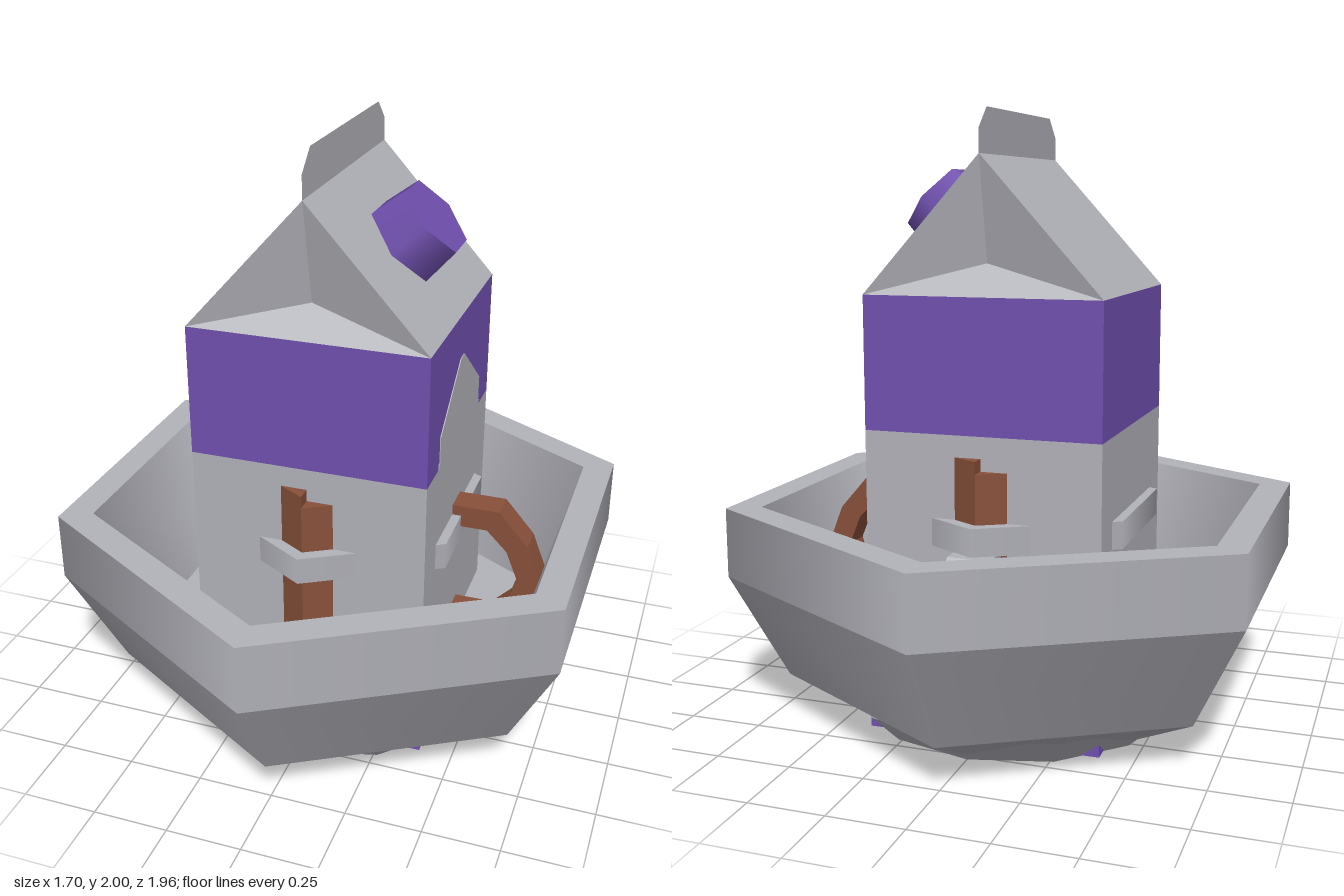
import * as THREE from 'three';

const mat = (name, color) => {
  const m = new THREE.MeshStandardMaterial({ color, side: THREE.DoubleSide });
  m.name = name;
  return m;
};

export function createModel() {
  const grey = mat('paleGrey', 0xb2b2ba);
  const purple = mat('purple', 0x7150b0);
  const brown = mat('brown', 0x88503a);
  const model = new THREE.Group();

  const add = (name, geometry, material, x = 0, y = 0, z = 0, parent = model) => {
    const mesh = new THREE.Mesh(geometry, material);
    mesh.name = name;
    mesh.position.set(x, y, z);
    parent.add(mesh);
    return mesh;
  };
  const extrude = (pts, depth) => new THREE.ExtrudeGeometry(
    new THREE.Shape(pts.map(([a, b]) => new THREE.Vector2(a, b))), { depth, bevelEnabled: false });
  const faces = (...pts) => {
    const g = new THREE.BufferGeometry();
    g.setAttribute('position', new THREE.Float32BufferAttribute(pts.flat(), 3));
    g.computeVertexNormals();
    return g;
  };

  // Bowl: one lathe per band, smooth around and creased between bands
  const bowl = new THREE.Group();
  bowl.name = 'bowl';
  model.add(bowl);
  const bands = (name, profile, sides) => {
    for (let i = 0; i < profile.length - 1; i++) {
      const pts = [profile[i], profile[i + 1]].map(([r, y]) => new THREE.Vector2(r, y));
      add(name, new THREE.LatheGeometry(pts, sides), grey, 0, 0, 0, bowl);
    }
  };
  bands('bowlBand', [[0.51, 0.006], [0.79, 0.15], [0.98, 0.5], [0.98, 0.73],
    [0.865, 0.73], [0.715, 0.25], [0, 0.25]], 6);
  bands('bowlFoot', [[0, 0], [0.525, 0], [0.625, 0.1]], 12);

  // Carton body in coloured layers
  const W = 0.78, H = 0.39;
  const layer = (name, y0, y1, m) => add(name, new THREE.BoxGeometry(W, y1 - y0, W), m, 0, (y0 + y1) / 2, 0);
  layer('cartonBase', 0.004, 0.2, purple);
  layer('cartonBody', 0.2, 1, grey);
  layer('cartonBand', 1, 1.43, purple);

  // Peaked panel on the left side of the carton
  const peak = extrude([[-0.26, 1], [0.26, 1], [0.26, 1.02], [0.25, 1.02], [0.25, 1.11],
    [0.02, 1.285], [-0.02, 1.285], [-0.25, 1.11], [-0.25, 1.02], [-0.26, 1.02]], 0.004);
  add('sidePanel', peak, grey, H - 0.001).rotation.y = Math.PI / 2;

  // Roof slopes, folded gables and top fin
  const E = 1.43, R = 1.86, F = 0.32;
  const half = faces(
    [H, E, H], [H, E, -H], [0, R, -H], [H, E, H], [0, R, -H], [0, R, H], // slope
    [-H, E, H], [H, E, H], [0, 1.53, F], // lower fold
    [-H, E, H], [0, 1.53, F], [0, R, H], // left fold
    [H, E, H], [0, R, H], [0, 1.53, F]); // right fold
  add('roofFront', half, grey);
  add('roofBack', half, grey).rotation.y = Math.PI;
  const fin = new THREE.ShapeGeometry(new THREE.Shape([[-H, R], [H, R], [H, 1.935], [0.32, 2],
    [-0.32, 2], [-H, 1.935]].map(([a, b]) => new THREE.Vector2(a, b))));
  add('roofFin', fin, grey).rotation.y = Math.PI / 2;

  // Screw cap on the left slope
  add('cap', new THREE.CylinderGeometry(0.137, 0.154, 0.14, 6), purple, 0.241, 1.687, 0).rotation.z = -0.834;

  // Hexagonal collar around the carton with its handle at the back
  add('collar', new THREE.CylinderGeometry(0.485, 0.485, 0.09, 6), grey, 0, 0.685, 0);
  const loop = extrude([[0.38, 0.64], [0.5, 0.64], [0.6, 0.53], [0.6, 0.4], [0.5, 0.29], [0.38, 0.29],
    [0.38, 0.34], [0.47, 0.34], [0.54, 0.42], [0.54, 0.51], [0.47, 0.58], [0.38, 0.58]], 0.14);
  add('collarHandle', loop, grey, -0.07, 0, 0).rotation.y = Math.PI / 2;

  // Brown wedges on front and back, one half taller than the other
  for (const turn of [0, Math.PI]) {
    const pair = new THREE.Group();
    pair.name = 'brownWedges';
    pair.rotation.y = turn;
    model.add(pair);
    for (const [side, top] of [[-1, 0.93], [1, 0.89]]) {
      const g = extrude([[0, -0.38], [side * 0.104, -0.38], [0, -0.44]], top - 0.25);
      g.rotateX(-Math.PI / 2);
      add('wedge', g, brown, 0, 0.25, 0, pair);
    }
  }

  // Brown handle curving down on the left
  const handle = extrude([[0.38, 0.765], [0.55, 0.765], [0.65, 0.65], [0.7, 0.52], [0.66, 0.38],
    [0.55, 0.28], [0.38, 0.28], [0.38, 0.35], [0.52, 0.35], [0.59, 0.42], [0.62, 0.52],
    [0.58, 0.62], [0.51, 0.69], [0.38, 0.69]], 0.1);
  add('brownHandle', handle, brown, 0, 0, -0.05);

  return model;
}
